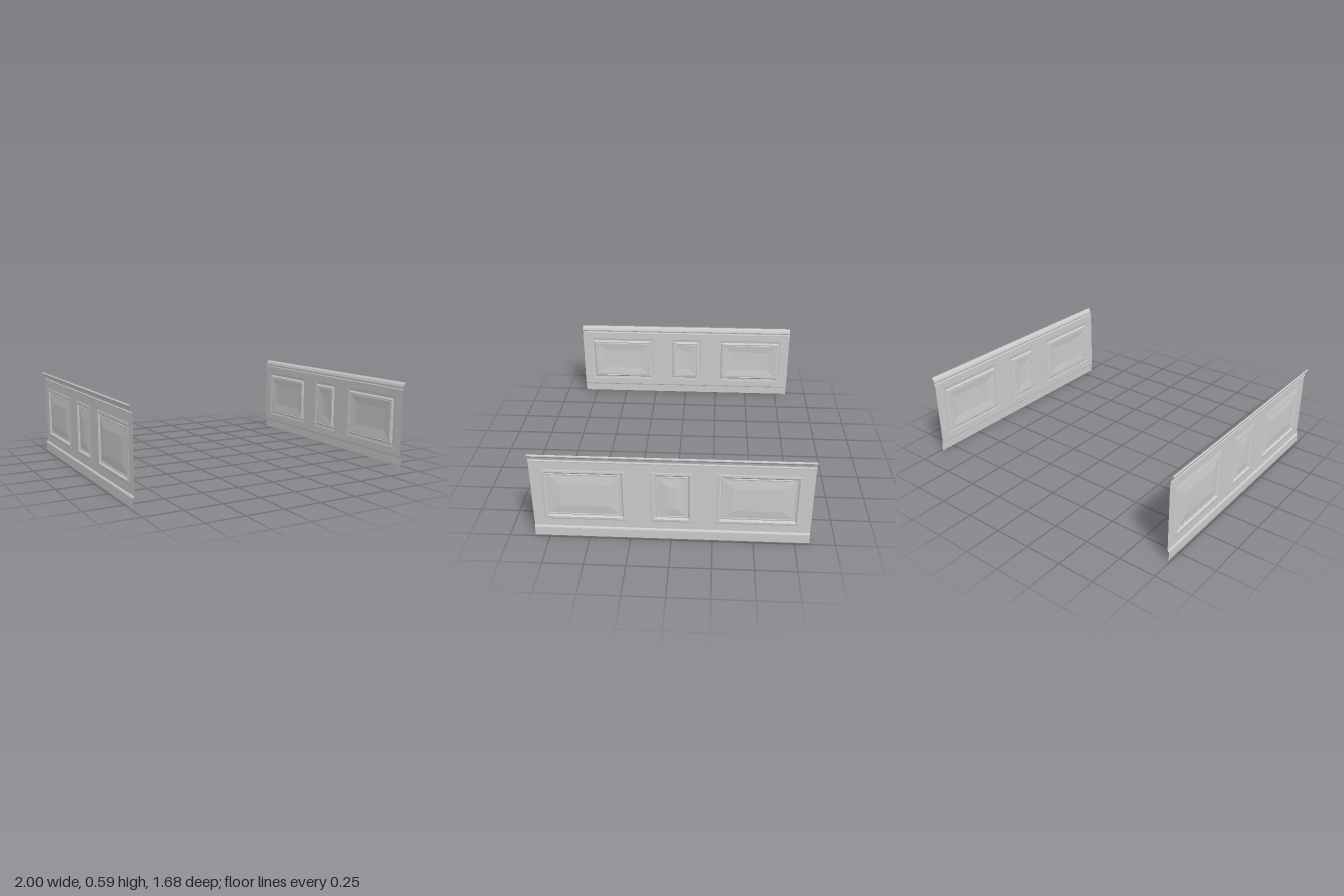
import * as THREE from 'three';

const HALF = 0.842;    // half the wall length
const PLANE = 0.977;   // distance of each wall face from the centre
const material = new THREE.MeshStandardMaterial({ color: 0xcccccc, flatShading: true, side: THREE.DoubleSide });

// Walls are drawn facing +z with their length along x, then turned outwards.
const PANELS = [
  { name: 'leftPanel', x: -0.522, halfWidth: 0.252 },
  { name: 'middlePanel', x: 0.003, halfWidth: 0.127 },
  { name: 'rightPanel', x: 0.522, halfWidth: 0.252 },
];
const PANEL_BOTTOM = 0.12, PANEL_TOP = 0.477;

// [depth, height] profiles of the long mouldings
const BASE = [[0.010, 0], [0.010, 0.058], [0.007, 0.065], [0, 0.069]];
const RAIL = [[0, 0.530], [0.006, 0.532], [0.007, 0.539], [0.003, 0.546], [0.005, 0.553],
  [0.009, 0.563], [0.016, 0.572], [0.022, 0.577], [0.023, 0.581], [0.021, 0.586], [0.016, 0.588]];

// [inset, depth] steps from the panel's outer edge to its raised field
const STEPS = [[0, 0], [0.006, 0.002], [0.018, 0.003], [0.024, -0.002], [0.030, -0.007],
  [0.036, -0.004], [0.042, -0.006], [0.100, 0.001]];

// Joins consecutive rows of points into one sheet
function sheet(rows, closed) {
  const n = rows[0].length, index = [];
  for (let r = 0; r < rows.length - 1; r++) {
    for (let i = 0; i < (closed ? n : n - 1); i++) {
      const a = r * n + i, b = r * n + (i + 1) % n;
      index.push(a, b, b + n, a, b + n, a + n);
    }
  }
  if (closed) { // flat centre
    const k = (rows.length - 1) * n;
    index.push(k, k + 1, k + 2, k, k + 2, k + 3);
  }
  const geometry = new THREE.BufferGeometry();
  geometry.setAttribute('position', new THREE.Float32BufferAttribute(rows.flat(2), 3));
  geometry.setIndex(index);
  const flat = geometry.toNonIndexed();
  flat.computeVertexNormals();
  return flat;
}

// Corners of a rectangle, counter-clockwise
const corners = (x, halfWidth, inset) => {
  const x0 = x - halfWidth + inset, x1 = x + halfWidth - inset;
  const y0 = PANEL_BOTTOM + inset, y1 = PANEL_TOP - inset;
  return [[x0, y0], [x1, y0], [x1, y1], [x0, y1]];
};

const moulding = (profile) => sheet(profile.map(([d, y]) => [[-HALF, y, d], [HALF, y, d]]), false);

const raisedPanel = ({ x, halfWidth }) =>
  sheet(STEPS.map(([inset, d]) => corners(x, halfWidth, inset).map(([u, v]) => [u, v, d])), true);

// Flat wall face with an opening for each panel
function wallFace() {
  const y0 = BASE[BASE.length - 1][1], y1 = RAIL[0][1];
  const points = (list) => list.map(([x, y]) => new THREE.Vector2(x, y));
  const shape = new THREE.Shape(points([[-HALF, y0], [HALF, y0], [HALF, y1], [-HALF, y1]]));
  for (const p of PANELS) shape.holes.push(new THREE.Path(points(corners(p.x, p.halfWidth, 0).reverse())));
  return new THREE.ShapeGeometry(shape);
}

function wainscot(name) {
  const group = new THREE.Group();
  group.name = name;
  const add = (part, geometry) => {
    const mesh = new THREE.Mesh(geometry, material);
    mesh.name = part;
    group.add(mesh);
  };
  add('wallFace', wallFace());
  add('baseboard', moulding(BASE));
  add('chairRail', moulding(RAIL));
  for (const p of PANELS) add(p.name, raisedPanel(p));
  return group;
}

export function createModel() {
  const model = new THREE.Group();
  model.name = 'wainscotWalls';
  // Two walls, back to back, each facing outwards
  for (const [name, side] of [['leftWall', 1], ['rightWall', -1]]) {
    const wall = wainscot(name);
    wall.rotation.y = side * Math.PI / 2;
    wall.position.x = side * PLANE;
    model.add(wall);
  }
  return model;
}
